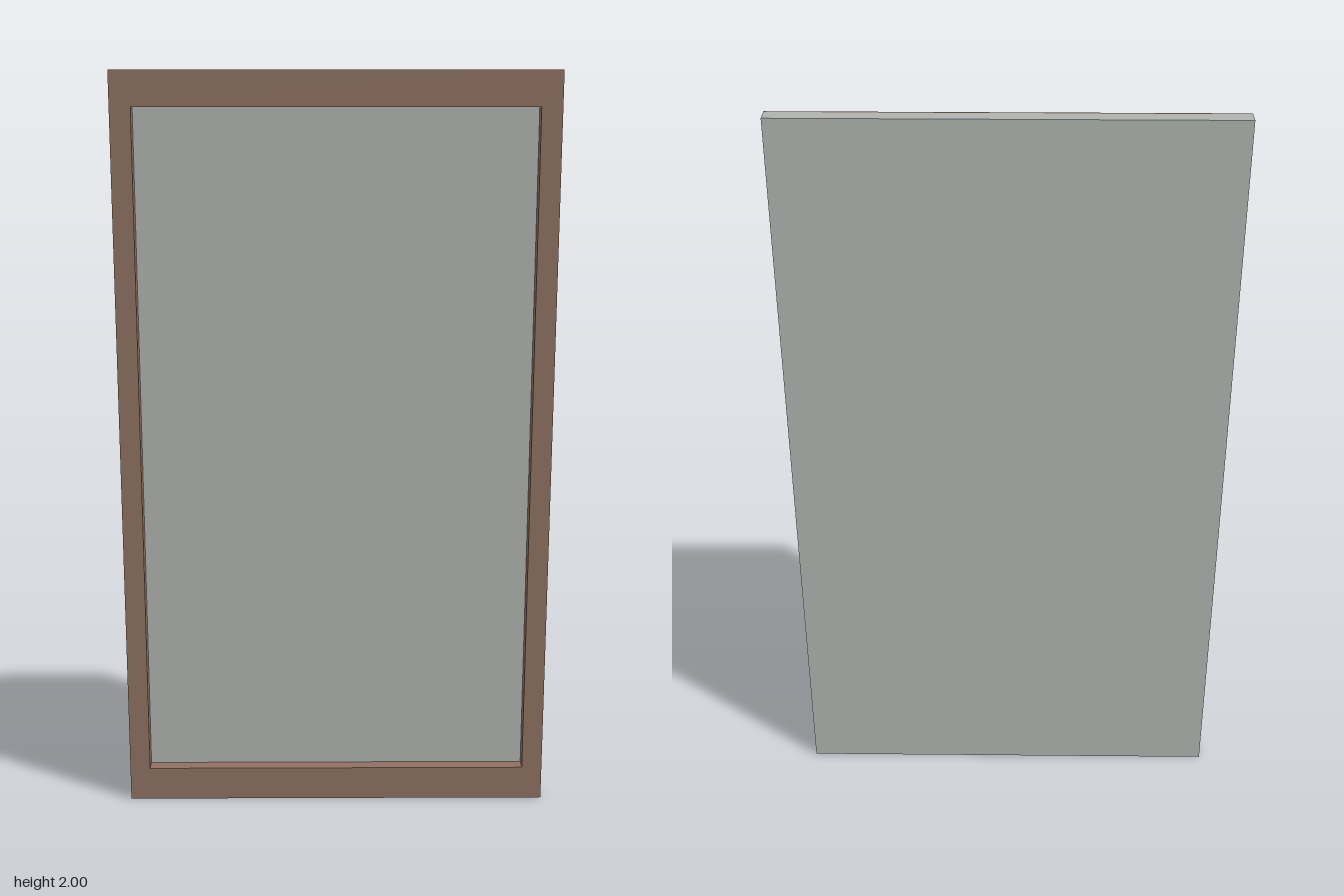
import * as THREE from 'three';

const W = 1.154, H = 1.999, T = 0.046; // outer width, height, thickness
const OW = 1.044, OH = 1.815;          // opening
const LIP = 0.005, BACK = 0.007, SHELL = 0.004;

function rect(target, w, h) {
  target.moveTo(-w / 2, -h / 2);
  target.lineTo(w / 2, -h / 2);
  target.lineTo(w / 2, h / 2);
  target.lineTo(-w / 2, h / 2);
  target.closePath();
  return target;
}

// Rectangular ring running from z0 to z1
function ring(w, h, iw, ih, z0, z1) {
  const shape = rect(new THREE.Shape(), w, h);
  shape.holes.push(rect(new THREE.Path(), iw, ih));
  const geo = new THREE.ExtrudeGeometry(shape, { depth: z1 - z0, bevelEnabled: false });
  return geo.translate(0, 0, z0);
}

export function createModel() {
  const wood = new THREE.MeshStandardMaterial({ name: 'brown wood', color: 0x8f7061 });
  const grey = new THREE.MeshStandardMaterial({ name: 'pale grey', color: 0xb1b3b0 });

  const model = new THREE.Group();
  model.name = 'leaningFramedPanel';
  const panel = new THREE.Group();
  panel.name = 'panel';
  model.add(panel);

  const add = (name, geo, mat) => {
    const mesh = new THREE.Mesh(geo, mat);
    mesh.name = name;
    panel.add(mesh);
  };

  const back = -T / 2, floor = back + BACK, lipBack = T / 2 - LIP;

  // Backing, whose front is the recessed pane
  add('backingPane', new THREE.BoxGeometry(W, H, BACK).translate(0, 0, back + BACK / 2), grey);
  // Grey shell around the edges
  add('edgeShell', ring(W, H, W - 2 * SHELL, H - 2 * SHELL, floor, lipBack), grey);
  // Wooden frame inside the shell and its front face
  add('frameBody', ring(W - 2 * SHELL, H - 2 * SHELL, OW, OH, floor, lipBack), wood);
  add('frameFront', ring(W, H, OW, OH, lipBack, T / 2), wood);

  // Slight forward lean
  panel.rotation.x = 0.0205;
  panel.position.y = 1;
  return model;
}
